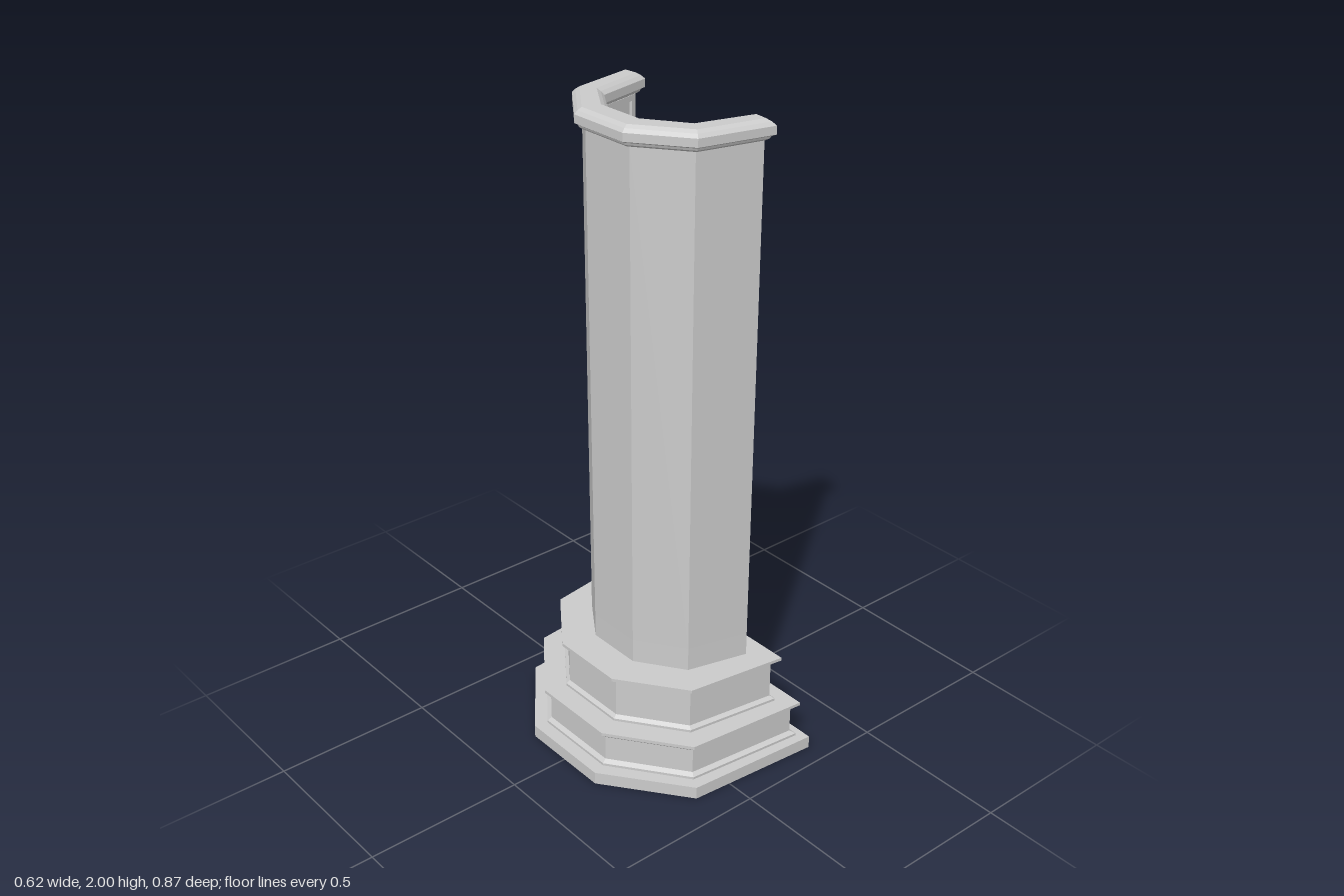
import * as THREE from 'three';

const material = new THREE.MeshStandardMaterial({ color: 0xcccccc, flatShading: true });

// Outlines are lists of [x, z]; half outlines run from the open +x side round to the back.
const mirror = (half) => half.map(([x, z]) => [x, -z]).reverse();
const closed = (half) => [...half, ...mirror(half)];
const horseshoe = (outer, inner) => [...closed(outer), ...closed(inner).reverse()];

// Move every edge of an outline outward by d, with mitred corners.
function offset(pts, d) {
  const n = pts.length;
  const normal = (a, b) => {
    const l = Math.hypot(b[0] - a[0], b[1] - a[1]);
    return [(b[1] - a[1]) / l, -(b[0] - a[0]) / l];
  };
  return pts.map((p, i) => {
    const u = normal(pts[(i + n - 1) % n], p);
    const v = normal(p, pts[(i + 1) % n]);
    const k = d / (1 + u[0] * v[0] + u[1] * v[1]);
    return [p[0] + (u[0] + v[0]) * k, p[1] + (u[1] + v[1]) * k];
  });
}

// Solid through stacked rings [y, outline], capped at both ends.
function loft(name, rings) {
  const pos = [];
  const put = (y, p) => pos.push(p[0], y, p[1]);
  for (let r = 0; r < rings.length - 1; r++) {
    const [y0, lo] = rings[r];
    const [y1, hi] = rings[r + 1];
    for (let i = 0; i < lo.length; i++) {
      const j = (i + 1) % lo.length;
      put(y0, lo[i]); put(y1, hi[j]); put(y0, lo[j]);
      put(y0, lo[i]); put(y1, hi[i]); put(y1, hi[j]);
    }
  }
  const cap = ([y, pts], up) => {
    const contour = pts.map((p) => new THREE.Vector2(p[0], p[1]));
    for (const t of THREE.ShapeUtils.triangulateShape(contour, [])) {
      const [a, b, c] = t.map((i) => pts[i]);
      const area = (b[0] - a[0]) * (c[1] - a[1]) - (b[1] - a[1]) * (c[0] - a[0]);
      const order = (area < 0) === up ? [a, b, c] : [a, c, b];
      order.forEach((p) => put(y, p));
    }
  };
  cap(rings[0], false);
  cap(rings[rings.length - 1], true);
  const geo = new THREE.BufferGeometry();
  geo.setAttribute('position', new THREE.Float32BufferAttribute(pos, 3));
  geo.computeVertexNormals();
  const mesh = new THREE.Mesh(geo, material);
  mesh.name = name;
  return mesh;
}

// Same outline at each height, grown or shrunk by a profile of [y, offset].
const molded = (name, outline, profile) =>
  loft(name, profile.map(([y, d]) => [y, offset(outline, d)]));

// Raised rectangular border standing on the wall line p to q.
function panelFrame(name, p, q, y0, y1, border, depth) {
  const dx = q[0] - p[0];
  const dz = q[1] - p[1];
  const rect = (Path, m) => {
    const l = Math.hypot(dx, dz) - m;
    const h = y1 - y0 - m;
    return new Path([[m, m], [l, m], [l, h], [m, h]].map(([x, y]) => new THREE.Vector2(x, y)));
  };
  const shape = rect(THREE.Shape, 0);
  shape.holes.push(rect(THREE.Path, border));
  const geo = new THREE.ExtrudeGeometry(shape, { depth, bevelEnabled: false });
  const mesh = new THREE.Mesh(geo, material);
  mesh.name = name;
  mesh.position.set(p[0], y0, p[1]);
  mesh.rotation.y = Math.atan2(-dz, dx);
  return mesh;
}

export function createModel() {
  const model = new THREE.Group();
  model.name = 'nicheColumn';

  // Stepped base
  const plinth = closed([[0.307, 0.435], [-0.122, 0.398], [-0.31, 0.15]]);
  const lower = closed([[0.285, 0.41], [-0.107, 0.368], [-0.275, 0.14]]);
  const upper = closed([[0.243, 0.364], [-0.075, 0.317], [-0.218, 0.12]]);
  model.add(
    molded('plinth', plinth, [[0, 0], [0.04, 0]]),
    molded('lowerTier', lower, [
      [0.04, -0.006], [0.048, -0.006], [0.057, -0.019], [0.138, -0.019],
      [0.146, -0.01], [0.153, -0.008], [0.155, 0], [0.165, 0],
    ]),
    molded('upperTier', upper, [
      [0.165, -0.01], [0.173, -0.01], [0.182, -0.021], [0.3, -0.021],
      [0.308, -0.01], [0.313, -0.008], [0.315, 0], [0.325, 0],
    ]),
  );

  // Three-sided shaft around the niche, leaning out very slightly
  const outer = [[0.175, 0.28], [-0.015, 0.231], [-0.112, 0.09]];
  const outerTop = [[0.175, 0.285], [-0.019, 0.236], [-0.12, 0.092]];
  const inner = [[0.175, 0.247], [0.003, 0.203], [-0.085, 0.077]];
  model.add(
    loft('nichePedestal', [[0.325, closed(outer)], [0.4, closed(outer)]]),
    loft('nicheWall', [[0.4, horseshoe(outer, inner)], [1.945, horseshoe(outerTop, inner)]]),
  );

  // Panel borders on the five inner wall faces
  const wallLine = closed([[0.17, 0.2457], ...inner.slice(1)]);
  for (let i = 0; i < wallLine.length - 1; i++) {
    model.add(panelFrame('wallPanelFrame', wallLine[i], wallLine[i + 1], 0.4, 1.943, 0.017, 0.009));
  }

  // Cornice following the wall
  const cornice = horseshoe(
    [[0.194, 0.31], [-0.033, 0.26], [-0.15, 0.1]],
    [[0.202, 0.23], [0.018, 0.183], [-0.057, 0.072]],
  );
  model.add(molded('cornice', cornice, [
    [1.94, -0.02], [1.946, -0.012], [1.953, -0.009], [1.958, 0],
    [1.982, 0], [1.992, -0.009], [2, -0.02],
  ]));

  // Seat block on two low steps
  const step = closed([[0.158, 0.217], [0.012, 0.188], [-0.057, 0.076]]);
  const seat = closed([[0.128, 0.186], [0.03, 0.162], [-0.037, 0.065]]);
  const seatBody = seat.map(([x, z]) => [Math.min(x, 0.12), z]);
  model.add(
    molded('floorStep', step, [[0.4, 0], [0.42, 0], [0.425, -0.011], [0.445, -0.011]]),
    loft('seatBlock', [[0.445, seatBody], [0.705, seatBody]]),
    molded('seatTop', seat, [[0.705, 0], [0.712, 0], [0.712, -0.013], [0.722, -0.013]]),
    panelFrame('seatPanelFrame', [0.118, 0.186], [0.118, -0.186], 0.445, 0.705, 0.024, 0.01),
    panelFrame('seatPanelBead', [0.118, 0.162], [0.118, -0.162], 0.469, 0.681, 0.01, 0.005),
  );
  return model;
}
